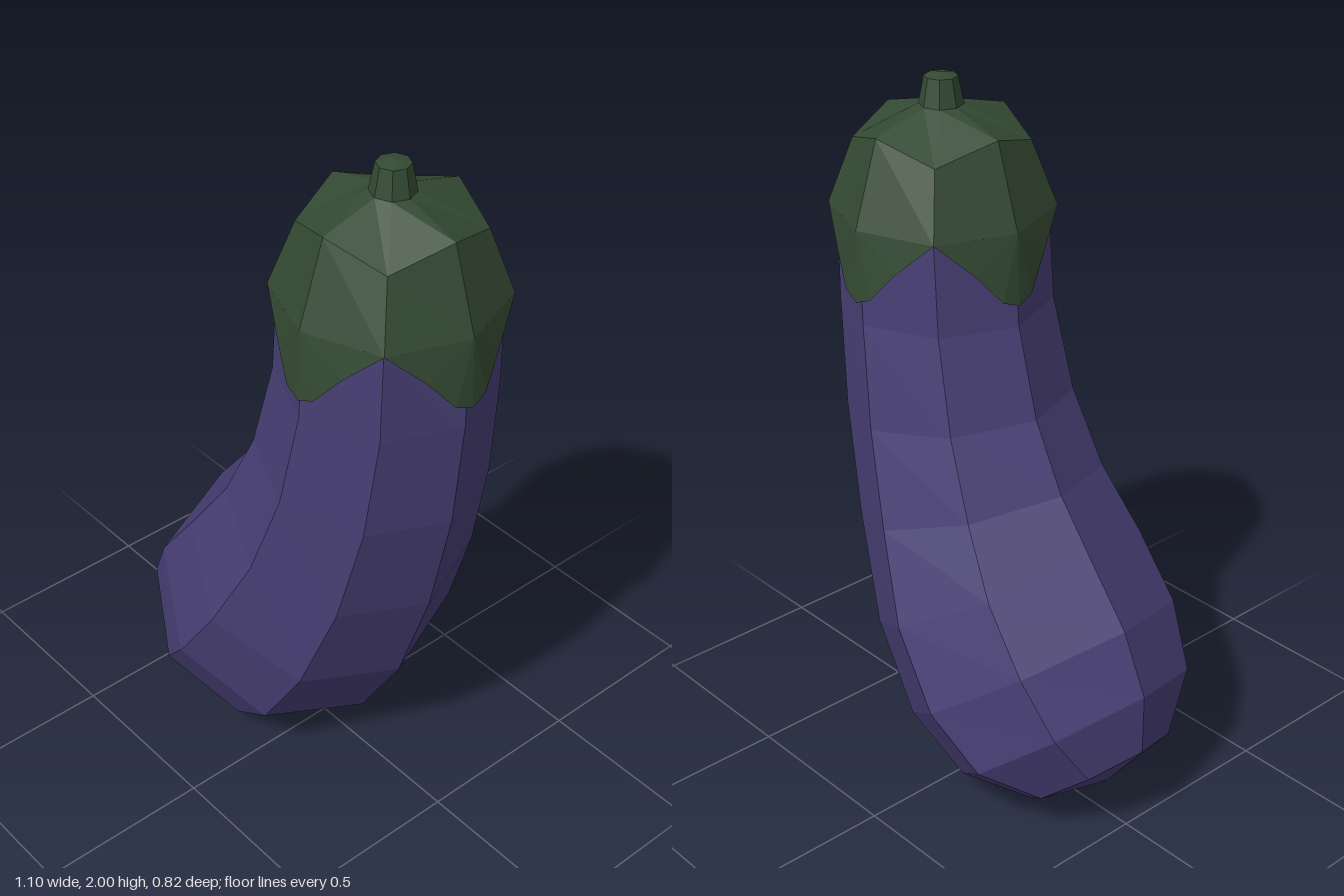
import * as THREE from 'three';

const SIDES = 8;
const V = (x, y, z) => new THREE.Vector3(x, y, z);

// Flat-shaded mesh from a list of triangle corners
function facetMesh(name, points, color, side = THREE.FrontSide) {
  const geometry = new THREE.BufferGeometry().setFromPoints(points);
  geometry.computeVertexNormals();
  const material = new THREE.MeshStandardMaterial({ color, flatShading: true, side });
  const mesh = new THREE.Mesh(geometry, material);
  mesh.name = name;
  return mesh;
}

// Skin between rings listed from top to bottom, optionally closed to a tip
function skin(rings, tip) {
  const out = [];
  for (let k = 0; k < SIDES; k++) {
    const n = (k + 1) % SIDES;
    for (let i = 0; i < rings.length - 1; i++) {
      const a = rings[i], b = rings[i + 1];
      out.push(a[k], a[n], b[k], a[n], b[n], b[k]);
    }
    const last = rings[rings.length - 1];
    if (tip) out.push(last[k], last[n], tip);
  }
  return out;
}

// Ring of points; f receives the index and the cosine and sine of its angle
const ring = (f) => Array.from({ length: SIDES }, (_, k) => {
  const a = (k / SIDES) * Math.PI * 2;
  return f(k, Math.cos(a), Math.sin(a));
});

export function createModel() {
  const model = new THREE.Group();
  model.name = 'eggplant';
  const purple = 0x483f75, green = 0x344a33, cx = 0.25;

  // Curved body: inner-bend x, y, outer-bend x, y, and half depth per section
  const sections = [
    [0.06, 1.8, 0.44, 1.8, 0.19],
    [-0.03, 1.64, 0.53, 1.64, 0.285],
    [-0.05, 1.38, 0.53, 1.37, 0.29],
    [-0.12, 1.13, 0.5, 1.05, 0.315],
    [-0.22, 0.94, 0.43, 0.72, 0.35],
    [-0.34, 0.79, 0.32, 0.4, 0.4],
    [-0.47, 0.63, 0.17, 0.15, 0.41],
    [-0.55, 0.46, -0.02, 0.02, 0.36],
    [-0.55, 0.28, -0.22, 0.005, 0.22],
  ];
  const bodyRings = sections.map(([lx, ly, rx, ry, depth]) => ring((k, c, s) =>
    V((lx + rx) / 2 + (c * (rx - lx)) / 2, (ly + ry) / 2 + (c * (ry - ly)) / 2, s * depth)));
  model.add(facetMesh('body', skin(bodyRings, V(-0.42, 0.11, 0)), purple));

  // Calyx crown: radius and height on the leaf axes, then between the leaves
  const crown = [
    [0.06, 1.915, 0.06, 1.915],
    [0.22, 1.87, 0.235, 1.82],
    [0.295, 1.64, 0.305, 1.64],
  ].map(([r0, y0, r1, y1]) => ring((k, c, s) =>
    (k % 2 ? V(cx + c * r1, y1, s * r1) : V(cx + c * r0, y0, s * r0))));
  const calyx = new THREE.Group();
  calyx.name = 'calyx';
  calyx.add(facetMesh('calyxCrown', skin(crown), green, THREE.DoubleSide));

  // Four pointed leaves: sideways offset, height and distance from the axis
  const half = [[0.2157, 1.64, 0.2157], [0.12, 1.545, 0.265], [0.05, 1.46, 0.295]];
  const outline = [
    ...half, [0, 1.44, 0.302],
    ...half.map(([u, y, r]) => [-u, y, r]).reverse(),
  ];
  for (let leaf = 0; leaf < 4; leaf++) {
    const a = (leaf * Math.PI) / 2, c = Math.cos(a), s = Math.sin(a);
    const at = ([u, y, r], lip = 1) =>
      V(cx + (c * r + s * u) * lip, y + (1 - lip) * 0.2, (s * r - c * u) * lip);
    const root = at([0, 1.64, 0.295]);
    const points = [];
    for (let i = 0; i < outline.length - 1; i++) {
      const p = at(outline[i]), q = at(outline[i + 1]);
      const pi = at(outline[i], 0.92), qi = at(outline[i + 1], 0.92);
      points.push(root, q, p, p, q, pi, q, qi, pi);
    }
    calyx.add(facetMesh('calyxLeaf', points, green, THREE.DoubleSide));
  }
  model.add(calyx);

  // Short tapered stem
  const stemRings = [[0.045, 1.99], [0.063, 1.9]].map(([r, y]) =>
    ring((k, c, s) => V(cx + c * r, y, s * r)));
  const top = stemRings[0].flatMap((p, k) =>
    [p, V(cx, 2, 0), stemRings[0][(k + 1) % SIDES]]);
  model.add(facetMesh('stem', [...skin(stemRings), ...top], green));

  return model;
}
